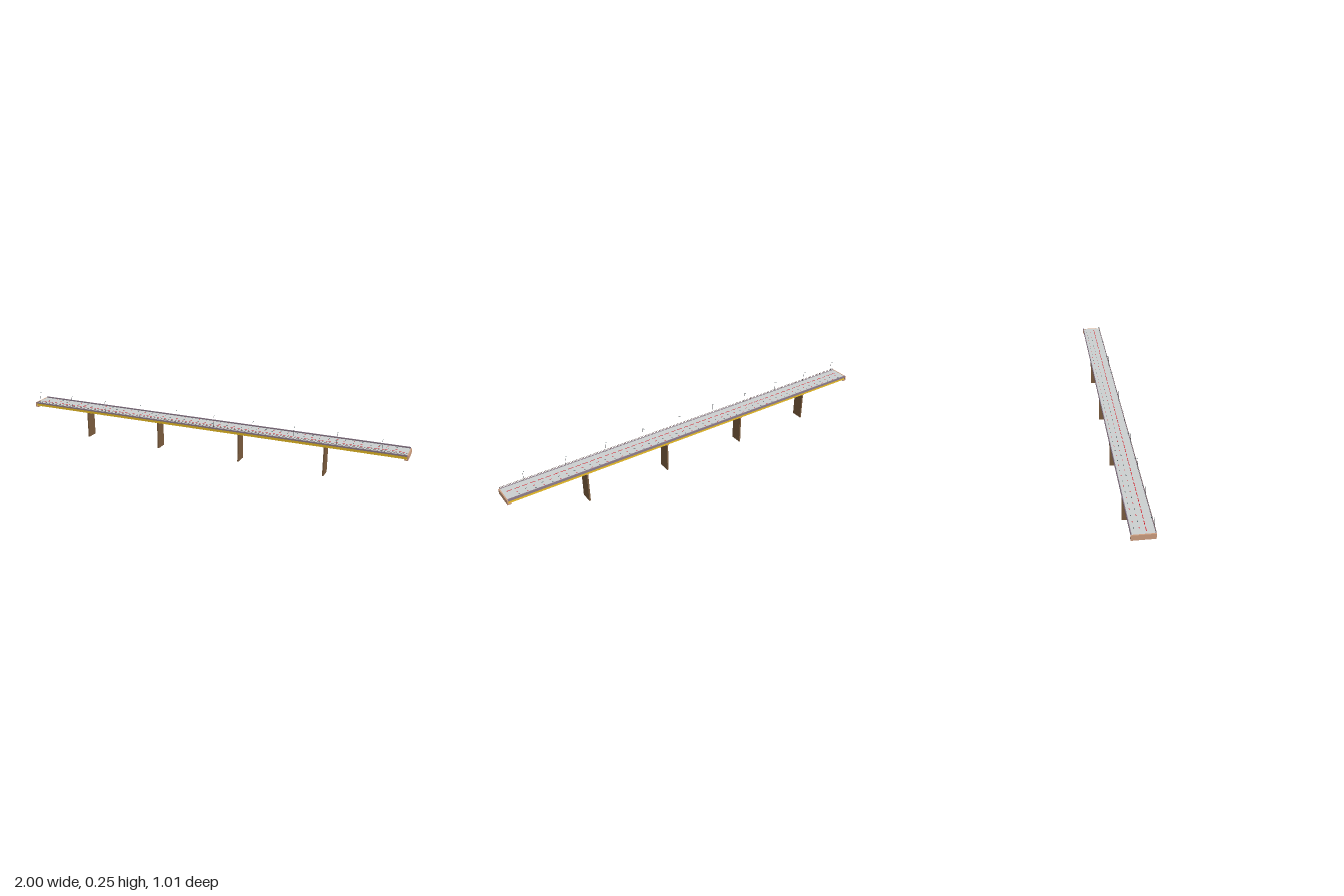
import * as THREE from 'three';

const mat = (name, color) => {
  const m = new THREE.MeshStandardMaterial({ color });
  m.name = name;
  return m;
};

export function createModel() {
  const M = {
    road: mat('road grey', 0xccd0d0),
    parapet: mat('slate', 0x8e7c8c),
    steel: mat('girder yellow', 0xe8bc28),
    concrete: mat('abutment tan', 0xcf9f80),
    pier: mat('pier brown', 0x7b5c3e),
    rail: mat('rail brown', 0x6c5a54),
    lamp: mat('lamp grey', 0x5e6064),
    red: mat('red marking', 0xd81420),
    dark: mat('dark marking', 0x35484c),
  };

  const HALF = 1.078;     // half length of the bridge
  const WIDE = 0.054;     // half width
  const SLOPE = 0.0072;   // the deck climbs toward the left end
  const DECK = 0.185;     // road height at mid span

  const model = new THREE.Group();
  model.name = 'bridge';
  const bridge = new THREE.Group();
  bridge.name = 'bridgeAlongDiagonal';
  bridge.rotation.y = -THREE.MathUtils.degToRad(25);
  model.add(bridge);
  const deck = new THREE.Group();
  deck.name = 'deck';
  deck.position.y = DECK;
  deck.rotation.z = Math.atan(SLOPE);
  bridge.add(deck);

  const add = (parent, name, geometry, material, x = 0, y = 0, z = 0) => {
    const mesh = new THREE.Mesh(geometry, material);
    mesh.name = name;
    mesh.position.set(x, y, z);
    parent.add(mesh);
    return mesh;
  };
  // box given by its length, bottom, top and the two sides
  const bar = (parent, name, material, x, length, y0, y1, z0, z1) =>
    add(parent, name, new THREE.BoxGeometry(length, y1 - y0, z1 - z0), material,
      x, (y0 + y1) / 2, (z0 + z1) / 2);

  // Road slab with a solid parapet behind and a low curb in front
  const span = 2 * HALF - 0.012;
  bar(deck, 'roadSlab', M.road, 0, span, -0.005, 0, -0.051, 0.051);
  bar(deck, 'soffit', M.steel, 0, span, -0.0062, -0.005, -0.051, 0.051);
  bar(deck, 'backParapet', M.parapet, 0, span, -0.006, 0.007, -WIDE, -0.0505);
  bar(deck, 'frontCurb', M.parapet, 0, span, -0.006, 0.002, 0.0505, WIDE);

  // Front railing
  for (const y of [0.0055, 0.0092]) {
    bar(deck, 'handrail', M.rail, 0, span, y, y + 0.0008, 0.0519, 0.0527);
  }
  for (let i = 0; i <= 20; i++) {
    bar(deck, 'railPost', M.rail, (i / 20 - 0.5) * (span - 0.004), 0.001,
      0.002, 0.0095, 0.0519, 0.0527);
  }

  // Deep plate girders, each on a narrow bottom flange
  for (let i = -2; i <= 2; i++) {
    const z = i * 0.0235;
    bar(deck, 'girderWeb', M.steel, 0, span, -0.0195, -0.006, z - 0.0015, z + 0.0015);
    bar(deck, 'girderFlange', M.steel, 0, span, -0.0205, -0.0195, z - 0.0028, z + 0.0028);
  }

  // Abutments closing both ends
  for (const side of [-1, 1]) {
    bar(deck, 'abutment', M.concrete, side * (HALF - 0.003), 0.006, -0.026, 0.0005, -WIDE, WIDE);
    bar(deck, 'abutmentSeat', M.concrete, side * (HALF - 0.013), 0.014, -0.026, -0.0207, -WIDE, WIDE);
  }

  // Road markings: a red dashed line and two rows of short marks
  for (let x = -1.04; x < 1.05; x += 0.04) {
    bar(deck, 'redLine', M.red, x, 0.028, 0, 0.0008, 0.0132, 0.016);
  }
  let n = 0;
  for (let x = -1.03; x < 1.05; x += 0.0425, n++) {
    bar(deck, 'laneDash', n % 2 ? M.dark : M.red, x, 0.01, 0, 0.0008, -0.0133, -0.0107);
    bar(deck, 'outerDash', n % 2 ? M.red : M.dark, x, 0.008, 0, 0.0008, -0.0363, -0.0337);
  }

  // Street lamps along the front, arms reaching over the road
  const armCurve = new THREE.QuadraticBezierCurve3(
    new THREE.Vector3(0, 0.056, 0), new THREE.Vector3(0, 0.06, -0.001),
    new THREE.Vector3(0, 0.0615, -0.012));
  const poleGeo = new THREE.CylinderGeometry(0.0005, 0.0008, 0.056, 6).translate(0, 0.028, 0);
  const armGeo = new THREE.TubeGeometry(armCurve, 6, 0.0005, 5);
  const headGeo = new THREE.BoxGeometry(0.002, 0.0014, 0.006);
  for (let i = 0; i < 10; i++) {
    const lamp = new THREE.Group();
    lamp.name = 'streetLamp';
    lamp.position.set(-1.046 + i * 0.2219, 0, 0.0495);
    add(lamp, 'lampPole', poleGeo, M.lamp);
    add(lamp, 'lampArm', armGeo, M.lamp);
    add(lamp, 'lampHead', headGeo, M.dark, 0, 0.0613, -0.013);
    deck.add(lamp);
  }

  // Wall piers with flared caps
  const cap = new THREE.Shape([
    [-0.031, -0.009], [0.031, -0.009], [0.036, -0.004], [0.036, 0.0005],
    [-0.036, 0.0005], [-0.036, -0.004],
  ].map(([a, b]) => new THREE.Vector2(a, b)));
  const capGeo = new THREE.ExtrudeGeometry(cap, { depth: 0.01, bevelEnabled: false });
  capGeo.translate(0, 0, -0.005).rotateY(Math.PI / 2);
  for (const x of [-0.742, -0.286, 0.195, 0.661]) {
    const top = DECK + SLOPE * x - 0.0205;
    const pier = new THREE.Group();
    pier.name = 'pier';
    pier.position.set(x, 0, -0.014);
    bar(pier, 'pierWall', M.pier, 0, 0.008, 0, top - 0.009, -0.031, 0.031);
    add(pier, 'pierCap', capGeo, M.concrete, 0, top, 0);
    bridge.add(pier);
  }

  return model;
}
